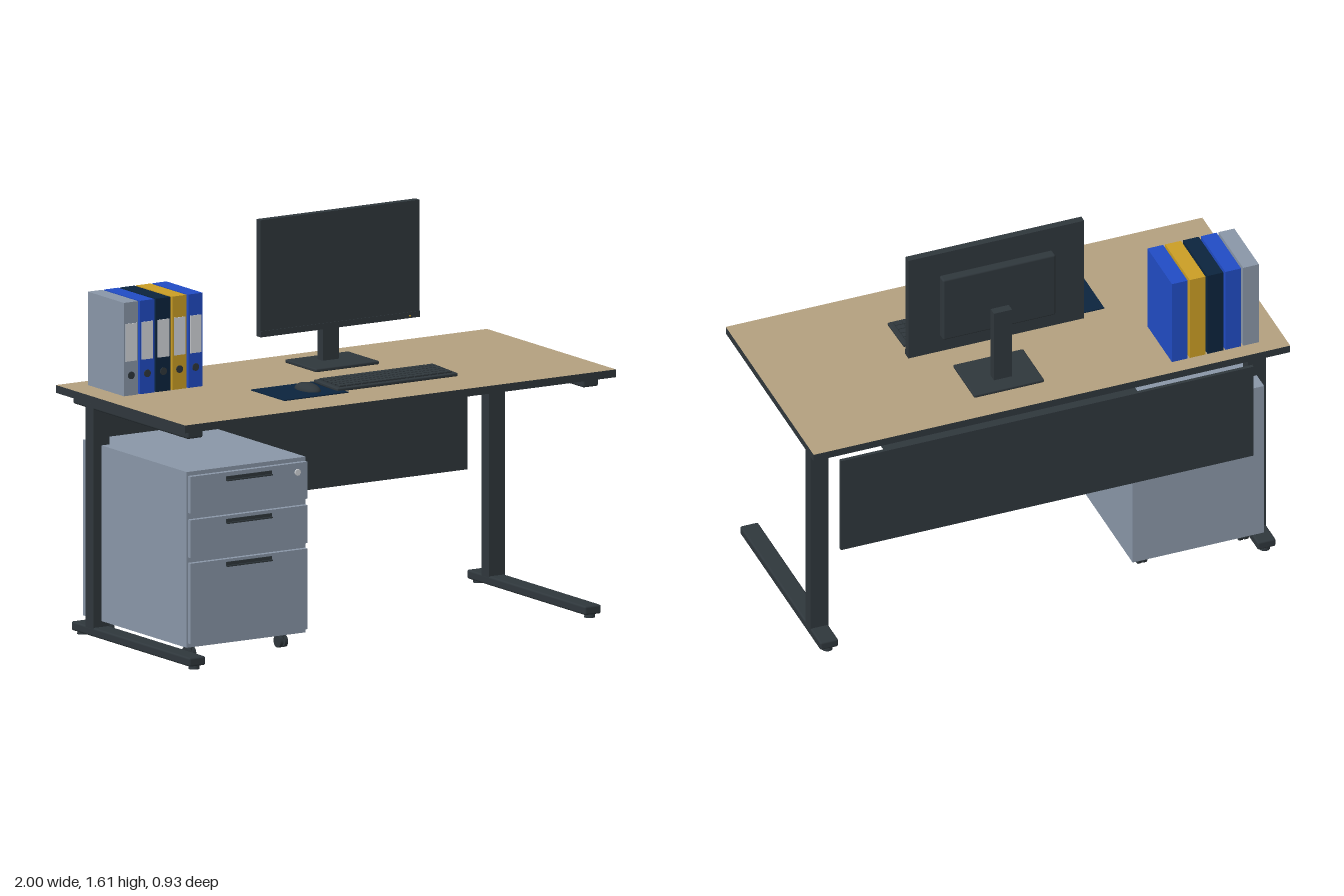
import * as THREE from 'three';
import { RoundedBoxGeometry } from 'three/addons/geometries/RoundedBoxGeometry.js';

const mat = (name, color) => {
  const m = new THREE.MeshStandardMaterial({ color });
  m.name = name;
  return m;
};

export function createModel() {
  const dark = mat('charcoal', 0x2f373c);
  const wood = mat('wood', 0xb3a07f);
  const grey = mat('steelGrey', 0x8a97a8);
  const blue = mat('blue', 0x214cc5);
  const navy = mat('navy', 0x0b243e);
  const amber = mat('amber', 0xcb9e25);
  const white = mat('label', 0xd5d8dc);

  const model = new THREE.Group();
  model.name = 'officeDesk';
  const group = (name) => {
    const g = new THREE.Group();
    g.name = name;
    model.add(g);
    return g;
  };
  const add = (parent, name, geo, material, x = 0, y = 0, z = 0) => {
    const m = new THREE.Mesh(geo, material);
    m.name = name;
    m.position.set(x, y, z);
    parent.add(m);
    return m;
  };
  // Box given by its limits on each axis; r rounds the edges
  const box = (parent, name, material, [x0, x1], [y0, y1], [z0, z1], r = 0) => {
    const s = [x1 - x0, y1 - y0, z1 - z0];
    const geo = r ? new RoundedBoxGeometry(...s, 2, r) : new THREE.BoxGeometry(...s);
    return add(parent, name, geo, material, (x0 + x1) / 2, (y0 + y1) / 2, (z0 + z1) / 2);
  };

  // Desktop: wood faces with a dark edge band
  const TOP = 0.988;
  const desk = group('desk');
  box(desk, 'desktop', [dark, dark, wood, wood, dark, dark], [-1, 1], [0.957, TOP], [-0.465, 0.465]);

  // C-shaped legs
  for (const s of [-1, 1]) {
    const cx = s * 0.918;
    const leg = group(s < 0 ? 'rightLeg' : 'leftLeg');
    const span = (w) => [cx - w / 2, cx + w / 2];
    box(leg, 'column', dark, span(0.075), [0.03, 0.94], [-0.32, -0.265]);
    box(leg, 'topArm', dark, span(0.072), [0.918, 0.957], [-0.415, 0.412], 0.008);
    box(leg, 'foot', dark, span(0.076), [0.014, 0.05], [-0.425, 0.428], 0.008);
    for (const z of [-0.4, 0.402])
      add(leg, 'levellingPad', new THREE.CylinderGeometry(0.02, 0.022, 0.018, 16), dark, cx, 0.009, z);
  }

  // Cross beam, cable tray and modesty panel
  box(desk, 'crossBeam', dark, [-0.885, 0.885], [0.864, 0.912], [-0.336, -0.298]);
  const tray = group('cableTray');
  box(tray, 'trayBottom', dark, [-0.4, 0.665], [0.855, 0.859], [-0.37, -0.238]);
  box(tray, 'trayFront', dark, [-0.4, 0.665], [0.855, 0.922], [-0.242, -0.238]);
  box(desk, 'modestyPanel', dark, [-0.87, 0.862], [0.457, 0.882], [-0.405, -0.391]);

  // Pedestal cabinet with three drawers
  const cabinet = group('cabinet');
  box(cabinet, 'cabinetBody', grey, [-0.917, -0.365], [0.073, 0.773], [-0.398, 0.348]);
  for (const [y0, y1, yh] of [[0.61, 0.757, 0.732], [0.433, 0.584, 0.562], [0.09, 0.411, 0.391]]) {
    box(cabinet, 'drawerFront', grey, [-0.912, -0.37], [y0, y1], [0.348, 0.369]);
    box(cabinet, 'drawerHandle', dark, [-0.748, -0.538], [yh - 0.009, yh + 0.009], [0.368, 0.373]);
    box(cabinet, 'handleLip', dark, [-0.748, -0.538], [yh - 0.009, yh - 0.004], [0.372, 0.381]);
  }
  add(cabinet, 'lock', new THREE.CylinderGeometry(0.013, 0.013, 0.006, 20), white, -0.417, 0.72, 0.371)
    .rotation.x = Math.PI / 2;
  for (const x of [-0.856, -0.43])
    for (const z of [-0.32, 0.27]) {
      add(cabinet, 'casterStem', new THREE.CylinderGeometry(0.012, 0.016, 0.03, 12), dark, x, 0.06, z);
      for (const d of [-0.011, 0.011])
        add(cabinet, 'casterWheel', new THREE.CylinderGeometry(0.025, 0.025, 0.014, 20), dark, x + d, 0.033, z)
          .rotation.z = Math.PI / 2;
    }

  // Ring binders with spine label and finger hole
  const binders = group('binders');
  [grey, blue, navy, amber, blue].forEach((m, i) => {
    const cx = -0.862 + i * 0.0747;
    box(binders, 'binder', m, [cx - 0.033, cx + 0.033], [TOP, 1.36], [-0.398, -0.138]);
    box(binders, 'binderLabel', white, [cx - 0.026, cx + 0.026], [1.125, 1.275], [-0.139, -0.135]);
    add(binders, 'fingerHole', new THREE.CylinderGeometry(0.015, 0.015, 0.005, 20), dark, cx, 1.068, -0.137)
      .rotation.x = Math.PI / 2;
  });

  // Monitor on its stand
  const monitor = group('monitor');
  box(monitor, 'screenPanel', dark, [-0.24, 0.498], [1.165, 1.61], [-0.201, -0.171]);
  box(monitor, 'lowerBezel', dark, [-0.24, 0.498], [1.144, 1.168], [-0.201, -0.168]);
  box(monitor, 'powerLight', amber, [0.446, 0.456], [1.151, 1.156], [-0.169, -0.166]);
  box(monitor, 'rearHousing', dark, [-0.106, 0.368], [1.22, 1.507], [-0.24, -0.2], 0.008);
  box(monitor, 'standColumn', dark, [0.092, 0.168], [0.995, 1.32], [-0.275, -0.238]);
  box(monitor, 'standBase', dark, [-0.017, 0.277], [TOP, 1.002], [-0.342, -0.117], 0.005);

  // Keyboard, tilted up towards the back
  const keyboard = group('keyboard');
  keyboard.position.set(0.13, 0.999, 0.157);
  keyboard.rotation.x = 0.04;
  box(keyboard, 'keyboardBody', dark, [-0.28, 0.28], [-0.008, 0.006], [-0.086, 0.086], 0.005);
  const rows = 5, cols = 15, pw = 0.0352, pd = 0.0292;
  for (let r = 0; r < rows; r++) {
    for (let c = 0; c < cols; c++) {
      if (r === rows - 1 && c > 3 && c < 9) continue;
      const x = (c - (cols - 1) / 2) * pw, z = (r - (rows - 1) / 2) * pd;
      box(keyboard, 'key', dark, [x - 0.0155, x + 0.0155], [0.004, 0.012], [z - 0.0125, z + 0.0125]);
    }
  }
  box(keyboard, 'spaceBar', dark, [-0.121, 0.051], [0.004, 0.012], [0.046, 0.071]);

  // Mouse on its mat
  const mouseSet = group('mouseSet');
  box(mouseSet, 'mouseMat', navy, [-0.418, -0.122], [TOP, 0.992], [0.035, 0.278]);
  add(mouseSet, 'mouse', new THREE.SphereGeometry(1, 28, 12, 0, Math.PI * 2, 0, Math.PI / 2), dark, -0.23, 0.991, 0.153)
    .scale.set(0.04, 0.028, 0.073);

  return model;
}
